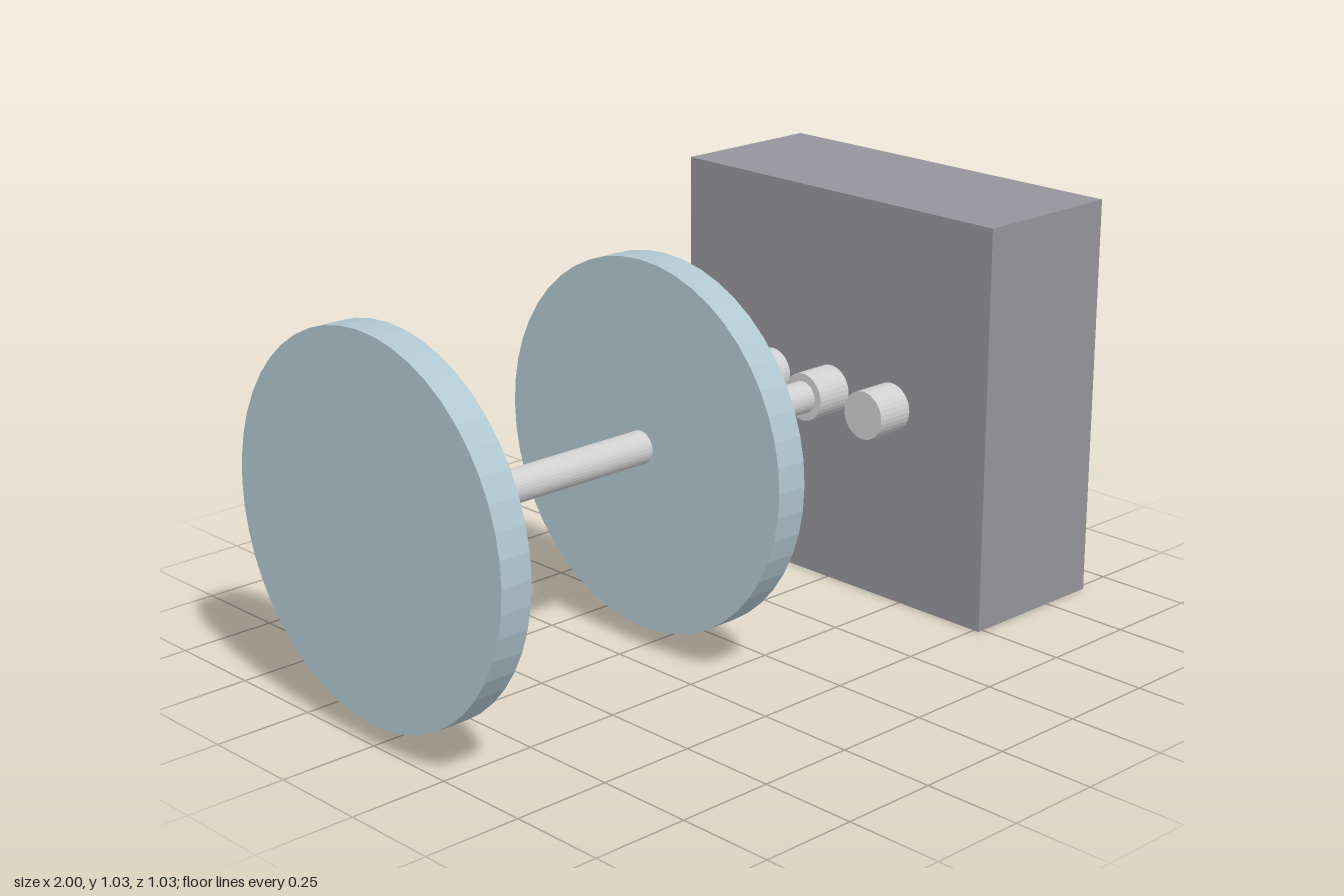
import * as THREE from 'three';

export function createModel() {
  const model = new THREE.Group();
  const U = 2 / 97; // one design unit; the whole length is 97 units
  const AXIS_Y = 25 * U;

  const flat = (name, color) => {
    const m = new THREE.MeshStandardMaterial({ color, flatShading: true });
    m.name = name;
    return m;
  };
  const boxGrey = flat('box grey', 0x95949a);
  const steel = flat('light steel', 0xd0d0d0);
  const paleBlue = flat('pale blue', 0xb0c7d0);

  // Round part lying along x, from x0 to x1 in design units
  const rod = (name, x0, x1, radius, z, sides, material) => {
    const geometry = new THREE.CylinderGeometry(radius * U, radius * U, (x1 - x0) * U, sides);
    geometry.rotateZ(-Math.PI / 2);
    const mesh = new THREE.Mesh(geometry, material);
    mesh.name = name;
    mesh.position.set(((x0 + x1) / 2) * U - 1, AXIS_Y, z * U);
    model.add(mesh);
  };

  // Housing block
  const housing = new THREE.Mesh(new THREE.BoxGeometry(20 * U, 50 * U, 50 * U), boxGrey);
  housing.name = 'housing';
  housing.position.set(82 * U - 1, AXIS_Y, 0);
  model.add(housing);

  // Three pins passing through the housing
  const pinNames = ['backPin', 'centrePin', 'frontPin'];
  pinNames.forEach((name, i) => rod(name, 67, 97, 3, (i - 1) * 10, 32, steel));

  // Long shaft and its two discs
  rod('shaft', 2, 68, 2, 0, 32, steel);
  rod('outerDisc', 0, 4, 22.5, 0, 48, paleBlue);
  rod('innerDisc', 40, 44, 22.5, 0, 48, paleBlue);

  return model;
}
